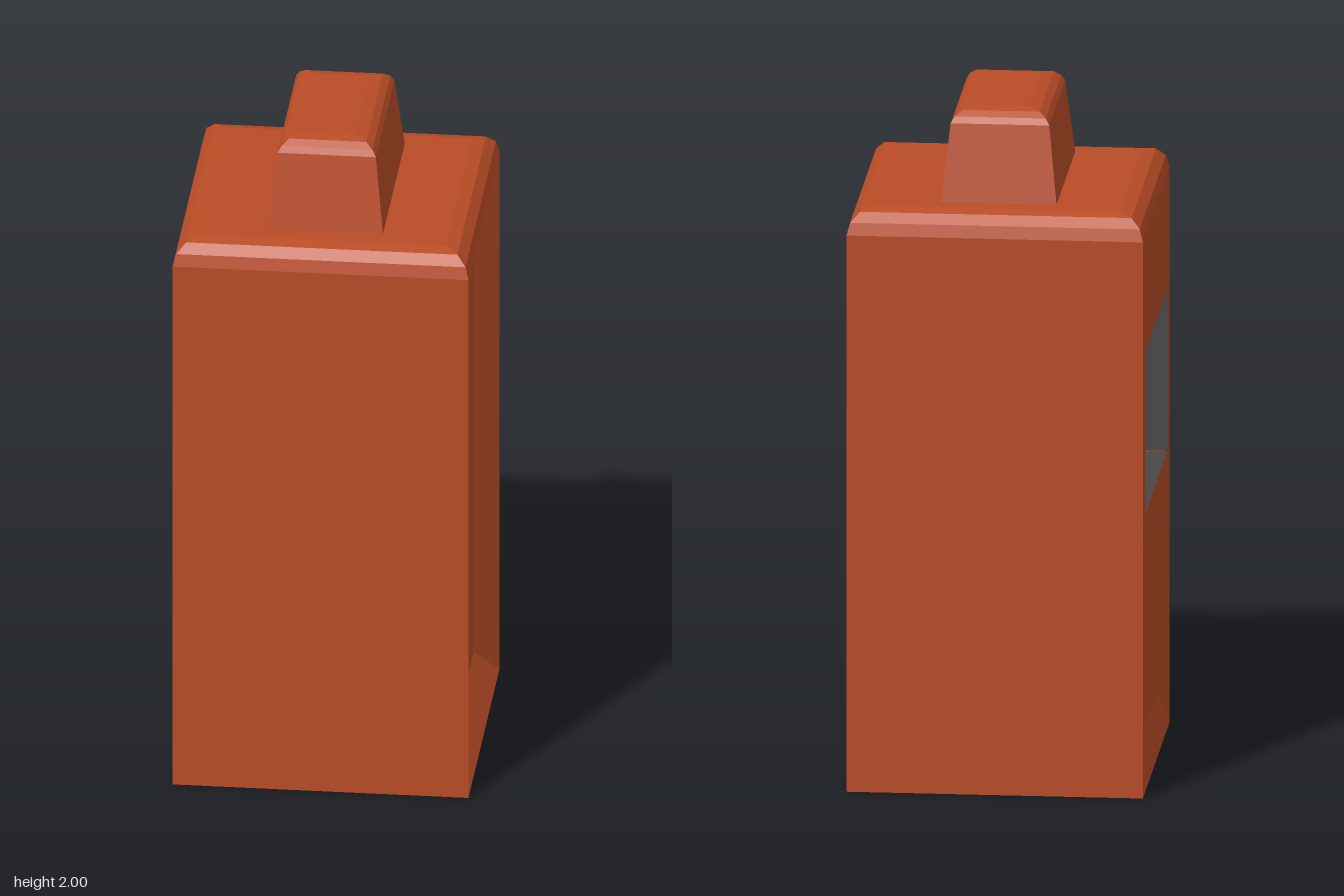
import * as THREE from 'three';

const shellPaint = new THREE.MeshStandardMaterial({ color: 0xb94c26 });
shellPaint.name = 'burntOrange';
const darkGrey = new THREE.MeshStandardMaterial({ color: 0x484848 });
darkGrey.name = 'darkGrey';

const H = 0.43;       // half width of the body
const SHOULDER = 1.663; // where the rounded top starts

// Flat-faced mesh from a list of counter-clockwise polygons
function faces(name, material, polygons) {
  const pos = [];
  for (const p of polygons)
    for (let i = 1; i < p.length - 1; i++) pos.push(...p[0], ...p[i], ...p[i + 1]);
  const g = new THREE.BufferGeometry();
  g.setAttribute('position', new THREE.Float32BufferAttribute(pos, 3));
  g.computeVertexNormals();
  const mesh = new THREE.Mesh(g, material);
  mesh.name = name;
  return mesh;
}

// Four-cornered rings, counter-clockwise as seen from outside
const level = (x, z, y) => [[x, y, z], [x, y, -z], [-x, y, -z], [-x, y, z]];
const rightRing = (x, z, y0, y1) => [[x, y0, z], [x, y0, -z], [x, y1, -z], [x, y1, z]];
const leftRing = (x, z, y0, y1) => [[x, y0, -z], [x, y0, z], [x, y1, z], [x, y1, -z]];

// Join each ring to the next, optionally closing the last one
function stitch(rings, capped = true) {
  const out = [];
  for (let r = 0; r < rings.length - 1; r++) {
    const a = rings[r], b = rings[r + 1];
    for (let i = 0; i < 4; i++) {
      const j = (i + 1) % 4;
      out.push([a[i], a[j], b[j], b[i]]);
    }
  }
  if (capped) out.push(rings[rings.length - 1]);
  return out;
}

export function createModel() {
  const model = new THREE.Group();
  model.name = 'canister';

  // Rounded top of the body
  const R = 0.072;
  const topRings = [0, 30, 60, 90].map((deg) => {
    const a = THREE.MathUtils.degToRad(deg);
    const w = H - R + R * Math.cos(a);
    return level(w, w, SHOULDER + R * Math.sin(a));
  });
  model.add(faces('roundedTop', shellPaint, stitch(topRings)));

  // Plain front and back walls
  model.add(faces('frontWall', shellPaint,
    [[[-H, 0, H], [H, 0, H], [H, SHOULDER, H], [-H, SHOULDER, H]]]));
  model.add(faces('backWall', shellPaint,
    [[[H, 0, -H], [-H, 0, -H], [-H, SHOULDER, -H], [H, SHOULDER, -H]]]));

  // Recessed panel with bevelled frame on the +x side
  model.add(faces('recessedPanel', shellPaint,
    stitch([rightRing(H, H, 0, SHOULDER), rightRing(H - 0.065, 0.335, 0.097, 1.567)])));

  // Other side: window frame above a very shallow panel
  const windowRing = leftRing(-H, 0.348, 0.832, 1.315);
  model.add(faces('windowFrame', shellPaint,
    stitch([leftRing(-H, H, 0.82, SHOULDER), windowRing], false)));
  model.add(faces('shallowPanel', shellPaint,
    stitch([leftRing(-H, H, 0, 0.82), leftRing(-H + 0.02, 0.28, 0.135, 0.68)])));

  // Grey niche behind the window, with an orange sliver on its floor
  model.add(faces('niche', darkGrey, stitch([windowRing, leftRing(0.02, 0.348, 0.832, 1.315)])));
  model.add(faces('nicheFloorSliver', shellPaint,
    [[[-H, 0.834, 0.347], [0.02, 0.834, 0.347], [0.02, 0.834, 0.262]]]));

  // Underside in two colours
  const underside = (x0, x1) => [[[x0, 0, -H], [x1, 0, -H], [x1, 0, H], [x0, 0, H]]];
  model.add(faces('greyBase', darkGrey, underside(-H, 0.14)));
  model.add(faces('orangeBase', shellPaint, underside(0.14, H)));

  // Tapered knob with softened top edges
  const knobRings = [
    [0.168, 0.302, 1.735], [0.143, 0.258, 1.96], [0.132, 0.248, 1.978],
    [0.112, 0.228, 1.993], [0.078, 0.195, 2.0],
  ].map((r) => level(...r));
  model.add(faces('knob', shellPaint, stitch(knobRings)));

  return model;
}
